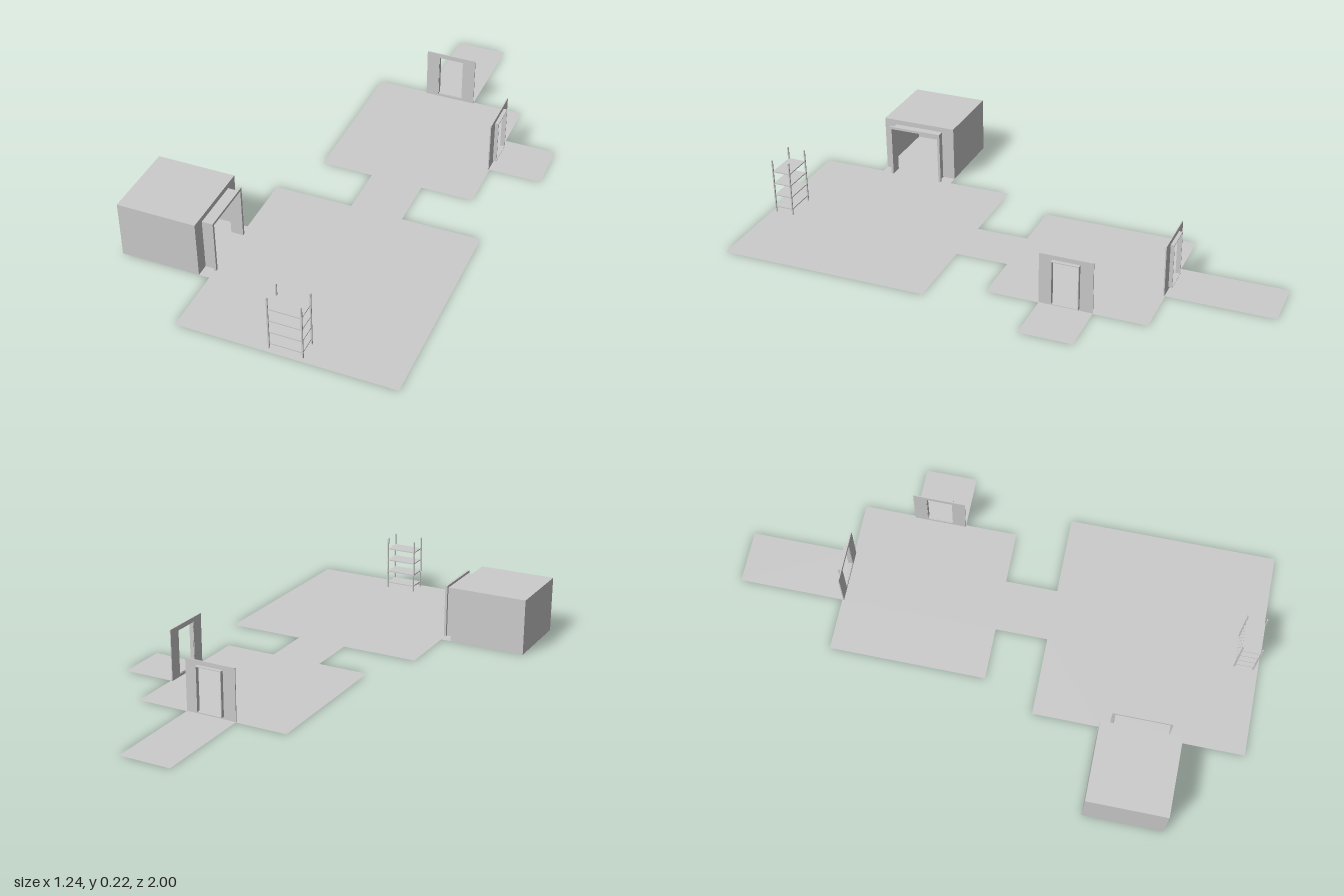
import * as THREE from 'three';

const grey = new THREE.MeshStandardMaterial({ color: 0xcccccc, flatShading: true, side: THREE.DoubleSide });

function add(parent, name, geometry) {
  const mesh = new THREE.Mesh(geometry, grey);
  mesh.name = name;
  parent.add(mesh);
  return mesh;
}

// Box given by its lower and upper limits on each axis
function box(parent, name, [x0, x1], [y0, y1], [z0, z1]) {
  const mesh = add(parent, name, new THREE.BoxGeometry(x1 - x0, y1 - y0, z1 - z0));
  mesh.position.set((x0 + x1) / 2, (y0 + y1) / 2, (z0 + z1) / 2);
  return mesh;
}

function outline(points, PathType = THREE.Shape) {
  return new PathType(points.map(([x, y]) => new THREE.Vector2(x, y)));
}

const rect = (x0, y0, x1, y1) => [[x0, y0], [x1, y0], [x1, y1], [x0, y1]];

// Thin wall with a doorway whose lining projects towards local +z
function createDoorway(name) {
  const group = new THREE.Group();
  group.name = name;
  const shape = outline(rect(-0.1, 0, 0.1, 0.2));
  shape.holes.push(outline(rect(-0.05, 0.01, 0.05, 0.183), THREE.Path));
  const wall = new THREE.ExtrudeGeometry(shape, { depth: 0.004, bevelEnabled: false });
  add(group, 'doorWall', wall.translate(0, 0, -0.004));
  const z = [-0.002, 0.014];
  for (const s of [-1, 1]) {
    box(group, 'doorJamb', [s * 0.05 - 0.0015, s * 0.05 + 0.0015], [0.01, 0.183], z);
  }
  box(group, 'doorHead', [-0.05, 0.05], [0.18, 0.183], z);
  box(group, 'doorSill', [-0.05, 0.05], [0.01, 0.012], z);
  return group;
}

// Open shelf unit: four posts and four boards
function createShelf() {
  const group = new THREE.Group();
  group.name = 'shelf';
  for (const x of [0.058, 0.179]) {
    for (const z of [0.911, 0.982]) {
      box(group, 'shelfPost', [x - 0.0025, x + 0.0025], [0, 0.22], [z - 0.0025, z + 0.0025]);
    }
  }
  for (let i = 0; i < 4; i++) {
    const y = 0.02 + i * 0.05;
    box(group, 'shelfBoard', [0.058, 0.179], [y, y + 0.004], [0.911, 0.982]);
  }
  return group;
}

// Cabin with an entrance passage on its +x side
function createCabin() {
  const group = new THREE.Group();
  group.name = 'cabin';
  const plane = (name, w, h) => add(group, name, new THREE.PlaneGeometry(w, h));

  for (const [z, turn] of [[0.75, 0], [0.45, Math.PI]]) {
    const side = plane('cabinSide', 0.3, 0.22);
    side.position.set(-0.47, 0.11, z);
    side.rotation.y = turn;
  }
  const back = plane('cabinBack', 0.3, 0.22);
  back.position.set(-0.62, 0.11, 0.6);
  back.rotation.y = -Math.PI / 2;
  const roof = plane('cabinRoof', 0.3, 0.3);
  roof.position.set(-0.47, 0.22, 0.6);
  roof.rotation.x = -Math.PI / 2;

  // Front wall around the entrance
  const front = outline([[-0.15, 0], [-0.1, 0], [-0.1, 0.2], [0.1, 0.2],
    [0.1, 0], [0.15, 0], [0.15, 0.22], [-0.15, 0.22]]);
  const frontWall = add(group, 'cabinFront', new THREE.ShapeGeometry(front));
  frontWall.position.set(-0.32, 0, 0.6);
  frontWall.rotation.y = Math.PI / 2;

  // Passage skin
  for (const [z, turn] of [[0.7, 0], [0.5, Math.PI]]) {
    const side = plane('passageSide', 0.04, 0.2);
    side.position.set(-0.3, 0.1, z);
    side.rotation.y = turn;
  }
  const passageRoof = plane('passageRoof', 0.04, 0.2);
  passageRoof.position.set(-0.3, 0.2, 0.6);
  passageRoof.rotation.x = -Math.PI / 2;

  // Trim around the passage mouth
  const trim = outline([[-0.11, 0], [-0.1, 0], [-0.1, 0.2], [0.1, 0.2],
    [0.1, 0], [0.11, 0], [0.11, 0.21], [-0.11, 0.21]]);
  const trimMesh = add(group, 'entranceTrim',
    new THREE.ExtrudeGeometry(trim, { depth: 0.009, bevelEnabled: false }));
  trimMesh.position.set(-0.282, 0, 0.6);
  trimMesh.rotation.y = Math.PI / 2;
  return group;
}

export function createModel() {
  const model = new THREE.Group();
  model.name = 'floorPlan';

  // Connected floor, outlined as (x, -z)
  const floorOutline = [
    [-0.28, 1], [0.52, 1], [0.52, 0.2], [0.22, 0.2], [0.22, 0], [0.42, 0],
    [0.42, -0.2], [0.62, -0.2], [0.62, -0.4], [0.42, -0.4], [0.42, -0.6],
    [0.22, -0.6], [0.22, -1], [0.02, -1], [0.02, -0.6], [-0.18, -0.6],
    [-0.18, 0], [0.02, 0], [0.02, 0.2], [-0.28, 0.2], [-0.28, 0.45],
    [-0.62, 0.45], [-0.62, 0.75], [-0.28, 0.75],
  ].map(([x, z]) => [x, -z]);
  const floor = add(model, 'floor', new THREE.ShapeGeometry(outline(floorOutline)));
  floor.rotation.x = -Math.PI / 2;

  const backDoor = createDoorway('backDoorway');
  backDoor.position.set(0.12, 0, -0.597);
  backDoor.rotation.y = Math.PI;
  const sideDoor = createDoorway('sideDoorway');
  sideDoor.position.set(0.417, 0, -0.3);
  sideDoor.rotation.y = Math.PI / 2;

  model.add(backDoor, sideDoor, createShelf(), createCabin());
  return model;
}
